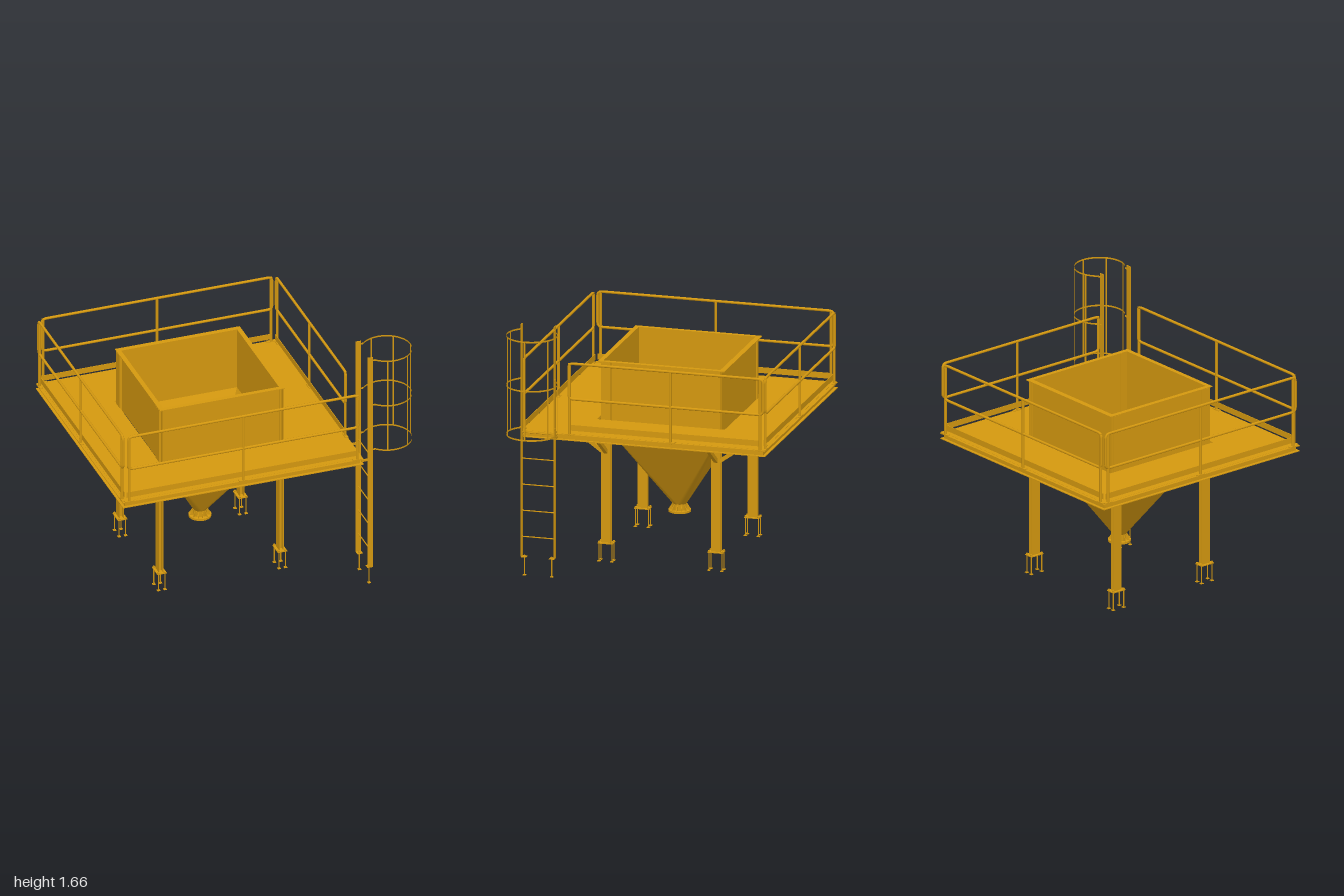
import * as THREE from 'three';

const steel = new THREE.MeshStandardMaterial({ color: 0xd4980f, side: THREE.DoubleSide });
const CX = -0.183, CZ = -0.018; // plan centre of hopper and platform

function add(parent, name, geometry) {
  const mesh = new THREE.Mesh(geometry, steel);
  mesh.name = name;
  parent.add(mesh);
  return mesh;
}

// Box given by its extents
function box(parent, name, x0, x1, y0, y1, z0, z1) {
  const m = add(parent, name, new THREE.BoxGeometry(Math.abs(x1 - x0), y1 - y0, Math.abs(z1 - z0)));
  m.position.set((x0 + x1) / 2, (y0 + y1) / 2, (z0 + z1) / 2);
  return m;
}

// Round bar between two points
function rod(parent, name, a, b, r, sides = 10) {
  const p = new THREE.Vector3(...a), d = new THREE.Vector3(...b).sub(p);
  const m = add(parent, name, new THREE.CylinderGeometry(r, r, d.length(), sides));
  m.position.copy(p).addScaledVector(d, 0.5);
  m.quaternion.setFromUnitVectors(new THREE.Vector3(0, 1, 0), d.normalize());
  return m;
}

function group(parent, name) {
  const g = new THREE.Group();
  g.name = name;
  parent.add(g);
  return g;
}

// Closed loop of pipe with rounded corners, plus posts, lying along local x
function guardRail(parent, name, length, posts) {
  const g = group(parent, name), h = length / 2, lo = 1.175, hi = 1.41, r = 0.03;
  const v = (x, y) => new THREE.Vector3(x, y, 0);
  const path = new THREE.CurvePath();
  const corners = [v(-h, lo), v(h, lo), v(h, hi), v(-h, hi)];
  corners.forEach((c, i) => {
    const toward = (k) => c.clone().addScaledVector(corners[k % 4].clone().sub(c).normalize(), r);
    const next = corners[(i + 1) % 4];
    const start = toward(i + 3), end = toward(i + 1);
    path.add(new THREE.QuadraticBezierCurve3(start, c, end));
    path.add(new THREE.LineCurve3(end, next.clone().addScaledVector(c.clone().sub(next).normalize(), r)));
  });
  add(g, 'railLoop', new THREE.TubeGeometry(path, 240, 0.009, 8, true));
  for (const x of posts) {
    rod(g, 'railPost', [x, 0.93, 0], [x, hi, 0], 0.009);
    box(g, 'postFoot', x - 0.03, x + 0.03, 0.938, 0.944, -0.011, 0.011);
  }
  return g;
}

// Flat-sided transition from rectangle to circle
function squareToRound(hx, hz, yTop, r, yBottom) {
  const pos = [], steps = 10;
  const corner = (k) => [[hx, yTop, hz], [-hx, yTop, hz], [-hx, yTop, -hz], [hx, yTop, -hz]][k % 4];
  const rim = (t) => [r * Math.cos(t), yBottom, r * Math.sin(t)];
  for (let k = 0; k < 4; k++) {
    const t0 = k * Math.PI / 2;
    for (let i = 0; i < steps; i++) {
      const a = t0 + i / steps * Math.PI / 2, b = t0 + (i + 1) / steps * Math.PI / 2;
      pos.push(...corner(k), ...rim(b), ...rim(a));
    }
    pos.push(...corner(k), ...corner(k + 1), ...rim(t0 + Math.PI / 2));
  }
  const geo = new THREE.BufferGeometry();
  geo.setAttribute('position', new THREE.Float32BufferAttribute(pos, 3));
  geo.computeVertexNormals();
  return geo;
}

// Horizontal rectangular ring extruded upward
function frameGeometry(x0, x1, z0, z1, hx0, hx1, hz0, hz1, t) {
  const rect = (P, a, b, c, d) => new P([[a, c], [b, c], [b, d], [a, d]].map((p) => new THREE.Vector2(...p)));
  const s = rect(THREE.Shape, x0, x1, -z1, -z0);
  s.holes.push(rect(THREE.Path, hx0, hx1, -hz1, -hz0));
  return new THREE.ExtrudeGeometry(s, { depth: t, bevelEnabled: false }).rotateX(-Math.PI / 2);
}

function buildHopper(root) {
  const g = group(root, 'hopper');
  const x0 = -0.575, x1 = 0.21, z0 = -0.405, z1 = 0.37;
  add(g, 'hopperWalls', frameGeometry(x0 - 0.003, x1 + 0.003, z0 - 0.003, z1 + 0.003, x0, x1, z0, z1, 0.42)).position.y = 0.9;
  add(g, 'topFlange', frameGeometry(-0.605, 0.24, -0.44, 0.4, x0, x1, z0, z1, 0.005)).position.y = 1.319;
  add(g, 'hopperCone', squareToRound(0.393, 0.388, 0.9, 0.045, 0.3)).position.set(CX, 0, CZ);
  // Outlet spout with a bolting ring and gussets
  const ring = [[0.043, 0.3], [0.048, 0.3], [0.048, 0.26], [0.073, 0.26], [0.073, 0.246], [0.043, 0.246], [0.043, 0.3]];
  add(g, 'outletRing', new THREE.LatheGeometry(ring.map((p) => new THREE.Vector2(...p)), 32).toNonIndexed())
    .position.set(CX, 0, CZ);
  g.children.at(-1).geometry.computeVertexNormals();
  const tri = new THREE.Shape([[0.045, 0.26], [0.071, 0.26], [0.05, 0.295], [0.045, 0.295]].map((p) => new THREE.Vector2(...p)));
  for (let i = 0; i < 12; i++) {
    const m = add(g, 'outletGusset', new THREE.ExtrudeGeometry(tri, { depth: 0.004, bevelEnabled: false }));
    m.position.set(CX, 0, CZ);
    m.rotation.y = i * Math.PI / 6;
  }
}

// Diagonal brace along local x from the leg up to the platform
function brace(parent, x, z, angle, run) {
  const s = new THREE.Shape([[0, 0.715], [run, 0.9], [run - 0.045, 0.9], [0, 0.745]].map((p) => new THREE.Vector2(...p)));
  const m = add(parent, 'kneeBrace', new THREE.ExtrudeGeometry(s, { depth: 0.024, bevelEnabled: false }).translate(0, 0, -0.012));
  m.position.set(x, 0, z);
  m.rotation.y = angle;
}

function anchor(parent, x, z) {
  rod(parent, 'anchorBolt', [x, 0, z], [x, 0.135, z], 0.004, 8);
  box(parent, 'anchorPlate', x - 0.01, x + 0.01, 0, 0.004, z - 0.01, z + 0.01);
  rod(parent, 'anchorNut', [x, 0.125, z], [x, 0.132, z], 0.008, 6);
}

function buildLegs(root) {
  for (const sx of [-1, 1]) for (const sz of [-1, 1]) {
    const g = group(root, 'leg');
    const x = CX + sx * 0.408, z = CZ + sz * 0.365, hz = 0.032;
    // H section column
    box(g, 'columnWeb', x - 0.013, x + 0.013, 0.125, 1.319, z - 0.003, z + 0.003);
    for (const s of [-1, 1]) box(g, 'columnFlange', x + s * 0.0105, x + s * 0.0155, 0.125, 1.319, z - hz, z + hz);
    box(g, 'basePlate', x - 0.032, x + 0.032, 0.119, 0.125, z - 0.05, z + 0.05);
    for (const a of [-1, 1]) for (const b of [-1, 1]) anchor(g, x + a * 0.022, z + b * 0.043);
    brace(g, x + sx * 0.015, z, sx > 0 ? 0 : Math.PI, 0.27);
    brace(g, x, z + sz * 0.03, -sz * Math.PI / 2, 0.26);
  }
}

function buildPlatform(root) {
  const g = group(root, 'platform');
  const x0 = -1, x1 = 0.63, z0 = -0.825, z1 = 0.795;
  add(g, 'deck', frameGeometry(x0 + 0.02, x1 - 0.02, z0 + 0.02, z1 - 0.02, -0.608, 0.243, -0.443, 0.403, 0.005)).position.y = 0.935;
  // Perimeter channels: web with outward flanges
  add(g, 'edgeWeb', frameGeometry(x0 + 0.018, x1 - 0.018, z0 + 0.018, z1 - 0.018, x0 + 0.023, x1 - 0.023, z0 + 0.023, z1 - 0.023, 0.036)).position.y = 0.9;
  for (const y of [0.899, 0.934]) {
    add(g, 'edgeFlange', frameGeometry(x0, x1, z0, z1, x0 + 0.023, x1 - 0.023, z0 + 0.023, z1 - 0.023, 0.005)).position.y = y;
  }
  // Main beams and joists under the deck
  for (const x of [-0.605, 0.24]) {
    box(g, 'mainBeam', x - 0.003, x + 0.003, 0.9, 0.937, z0 + 0.02, z1 - 0.02);
    box(g, 'mainBeamFlange', x - 0.014, x + 0.014, 0.9, 0.904, z0 + 0.02, z1 - 0.02);
  }
  for (const z of [-0.443, 0.403]) box(g, 'openingBeam', x0 + 0.02, x1 - 0.02, 0.9, 0.935, z - 0.004, z + 0.004);
  for (const z of [-0.63, -0.23, CZ, 0.19, 0.59]) {
    box(g, 'sideJoist', x0 + 0.02, -0.605, 0.905, 0.935, z - 0.008, z + 0.008);
    box(g, 'sideJoist', 0.24, x1 - 0.02, 0.905, 0.935, z - 0.008, z + 0.008);
  }
  for (const x of [-0.4, CX, 0.03]) {
    box(g, 'endJoist', x - 0.008, x + 0.008, 0.905, 0.935, z0 + 0.02, -0.443);
    box(g, 'endJoist', x - 0.008, x + 0.008, 0.905, 0.935, 0.403, z1 - 0.02);
  }
  // Toe boards, open beside the ladder
  for (const z of [z0 + 0.02, z1 - 0.02]) box(g, 'toeBoard', x0 + 0.03, x1 - 0.04, 0.962, 1, z - 0.002, z + 0.002);
  box(g, 'toeBoard', x0 + 0.018, x0 + 0.022, 0.962, 1, z0 + 0.03, z1 - 0.03);
  box(g, 'toeBoard', x1 - 0.022, x1 - 0.018, 0.962, 1, z0 + 0.03, 0.48);
  // Guard rails
  for (const z of [z0 + 0.01, z1 - 0.01]) guardRail(g, 'guardRail', 1.56, [-0.772, 0, 0.772]).position.set(CX, 0, z);
  const left = guardRail(g, 'sideGuardRail', 1.57, [-0.765, 0, 0.765]);
  left.position.set(x0 + 0.01, 0, CZ);
  left.rotation.y = Math.PI / 2;
  const right = guardRail(g, 'ladderSideGuardRail', 1.29, [-0.64, 0.03, 0.625]);
  right.position.set(x1 - 0.008, 0, -0.165);
  right.rotation.y = Math.PI / 2;
}

function buildLadder(root) {
  const g = group(root, 'ladder'), x = 0.68, zc = 0.665;
  for (const s of [-1, 1]) {
    const z = zc + s * 0.11;
    box(g, 'ladderRail', x - 0.018, x + 0.018, 0.125, 1.665, z - 0.003, z + 0.003);
    box(g, 'ladderFoot', x - 0.018, x + 0.018, 0.121, 0.125, z - s * 0.035, z);
    box(g, 'ladderBracket', 0.62, x, 0.91, 0.925, z - 0.004, z + 0.004);
    anchor(g, x, zc + s * 0.09);
  }
  for (let i = 0; i < 5; i++) {
    const y = 0.255 + i * 0.173;
    rod(g, 'rung', [x, y, zc - 0.11], [x, y, zc + 0.11], 0.004, 8);
  }
  // Safety cage: open hoops of flat bar and vertical straps
  const cage = group(root, 'safetyCage'), cx = 0.833, r = 0.163, open = 2.38;
  for (const y of [0.987, 1.313, 1.64]) {
    const band = add(cage, 'cageHoop', new THREE.CylinderGeometry(r, r, 0.011, 48, 1, true, Math.PI / 2 - open, open * 2));
    band.position.set(cx, y, zc - 0.003);
    for (const s of [-1, 1]) {
      const z = zc - 0.003 + s * r * Math.sin(open);
      box(cage, 'hoopTab', x, cx + r * Math.cos(open), y - 0.005, y + 0.005, z - 0.002, z + 0.002);
    }
  }
  for (const deg of [-107, -55, 0, 55, 107]) {
    const strap = box(cage, 'cageStrap', -0.0015, 0.0015, 0.985, 1.643, -0.005, 0.005);
    const a = deg * Math.PI / 180;
    strap.position.set(cx + r * Math.cos(a), strap.position.y, zc - 0.003 + r * Math.sin(a));
    strap.rotation.y = -a;
  }
}

export function createModel() {
  const root = new THREE.Group();
  root.name = 'hopperPlatform';
  buildHopper(root);
  buildLegs(root);
  buildPlatform(root);
  buildLadder(root);
  return root;
}
